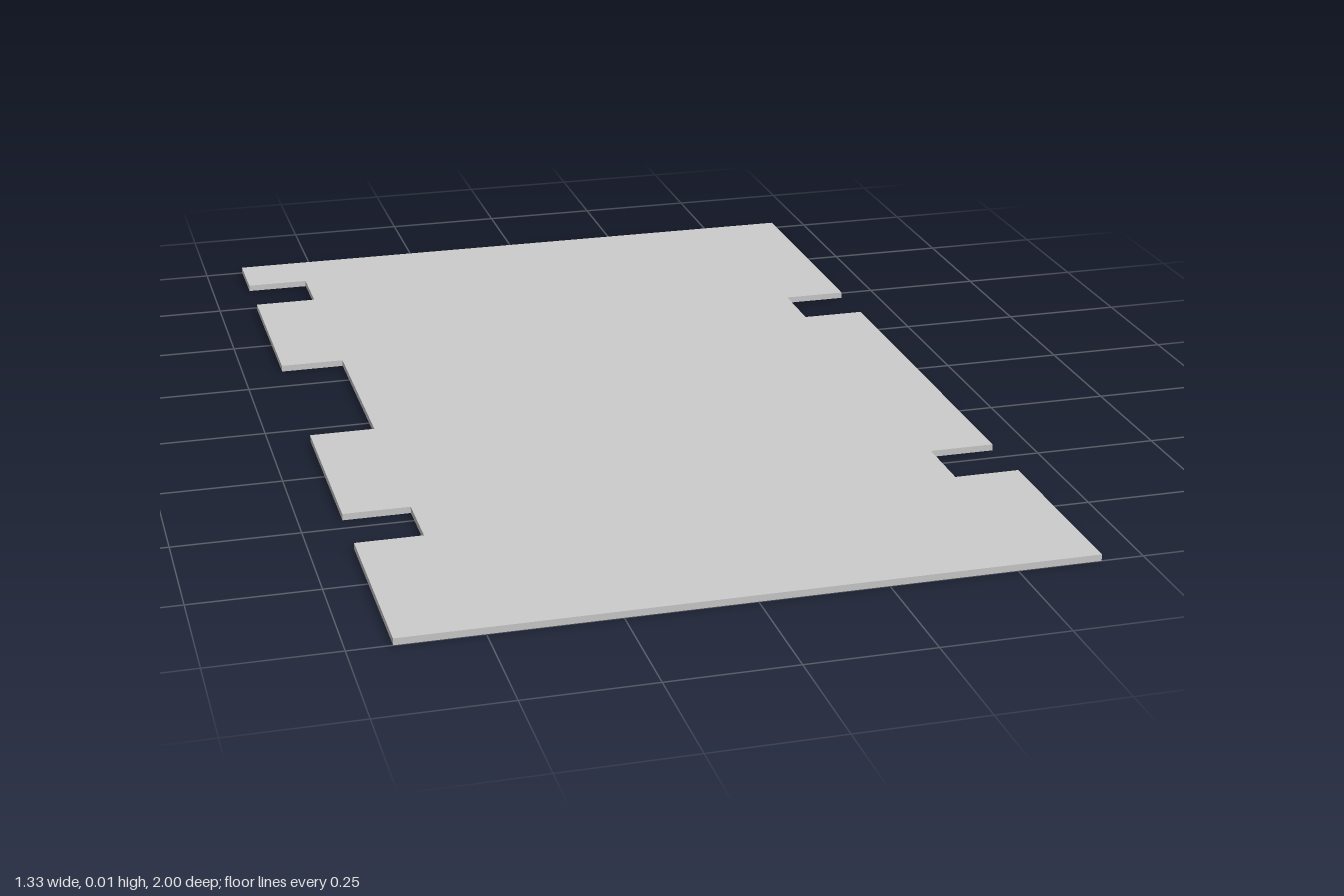
import * as THREE from 'three';

const HALF_W = 0.666, HALF_L = 1, NOTCH = 0.133, THICK = 0.0133;

// Notches along each long edge, as [start z, end z]
const rightNotches = [[-0.868, -0.735], [-0.336, 0.064], [0.464, 0.598]];
const leftNotches = [[-0.469, -0.335], [0.464, 0.598]];

// Points of one long edge, running from back to front
function notchedEdge(side, notches) {
  const outer = side * HALF_W, inner = side * (HALF_W - NOTCH);
  const points = [[outer, -HALF_L]];
  for (const [a, b] of notches) points.push([outer, a], [inner, a], [inner, b], [outer, b]);
  points.push([outer, HALF_L]);
  return points.map(([x, z]) => new THREE.Vector2(x, z));
}

export function createModel() {
  const group = new THREE.Group();
  group.name = 'notchedPanel';

  // Flat panel outline: down one edge, back up the other
  const outline = new THREE.Shape([
    ...notchedEdge(1, leftNotches),
    ...notchedEdge(-1, rightNotches).reverse(),
  ]);
  const geometry = new THREE.ExtrudeGeometry(outline, { depth: THICK, bevelEnabled: false });
  // Lay the panel down so that shape y becomes z
  geometry.rotateX(Math.PI / 2).translate(0, THICK, 0);

  const panel = new THREE.Mesh(geometry, new THREE.MeshStandardMaterial({ color: 0xcccccc }));
  panel.name = 'panel';
  group.add(panel);
  return group;
}
